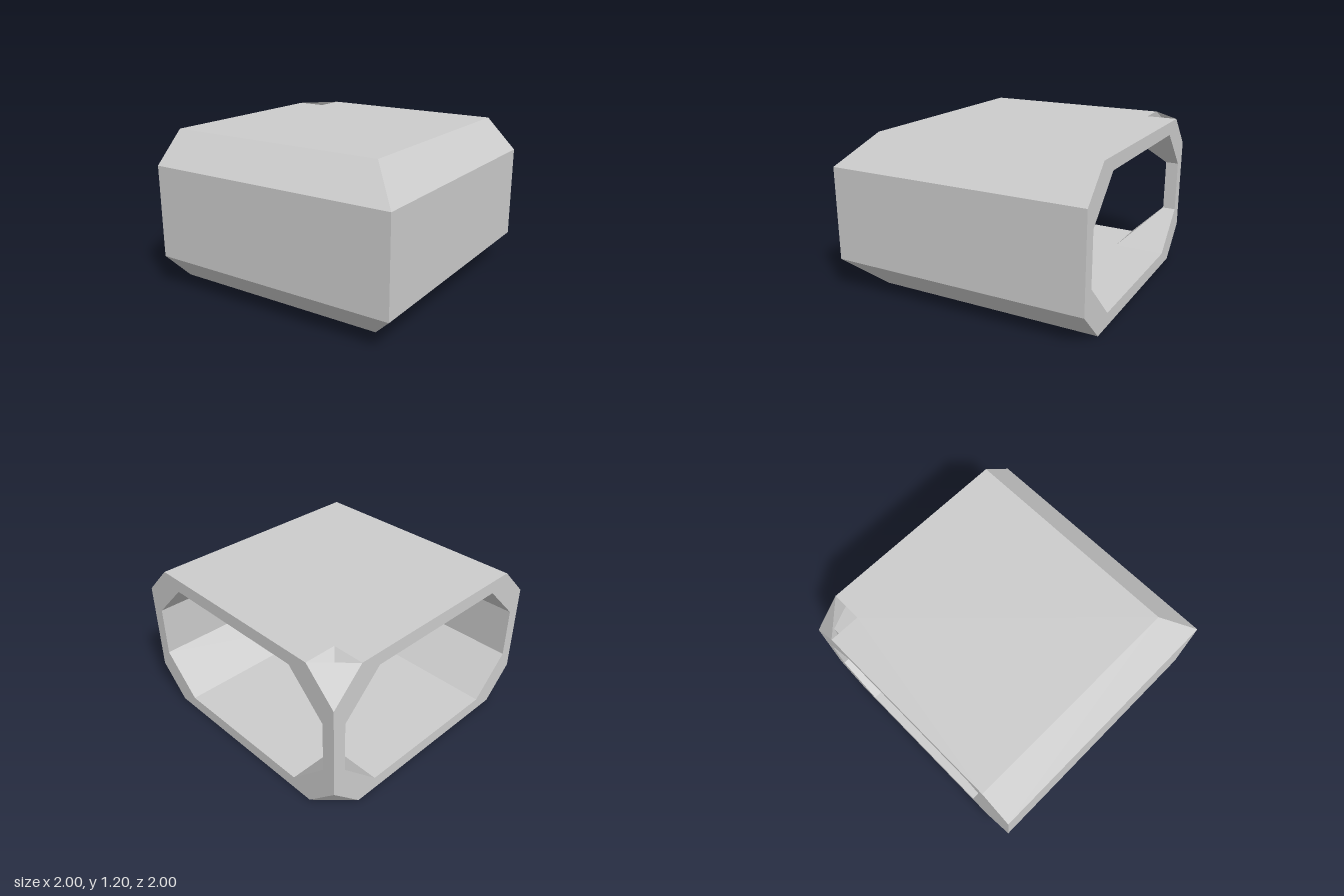
import * as THREE from 'three';

const material = new THREE.MeshStandardMaterial({ color: 0xcccccc, flatShading: true, side: THREE.DoubleSide });

// Chamfered section: [u, y] points, counter-clockwise from the bottom edge
function octagon(u0, u1, y0, y1, c) {
  return [
    [u0 + c, y0], [u1 - c, y0], [u1, y0 + c], [u1, y1 - c],
    [u1 - c, y1], [u0 + c, y1], [u0, y1 - c], [u0, y0 + c],
  ];
}

// The section placed at the side opening, the corner mitre and the back opening
function rings(section) {
  return [
    section.map(([u, y]) => [-1, y, u]),
    section.map(([u, y]) => [u, y, u]),
    section.map(([u, y]) => [u, y, -1]),
  ];
}

function makeMesh(name, triangles) {
  const geometry = new THREE.BufferGeometry();
  geometry.setAttribute('position', new THREE.Float32BufferAttribute(triangles.flat(2), 3));
  geometry.computeVertexNormals();
  const mesh = new THREE.Mesh(geometry, material);
  mesh.name = name;
  return mesh;
}

const quad = (a, b, c, d) => [[a, b, c], [a, c, d]];

// Walls between successive rings, for the chosen section edges
function sweep(ringList, edges, outward) {
  const triangles = [];
  for (let r = 0; r < ringList.length - 1; r++) {
    const [a, b] = [ringList[r], ringList[r + 1]];
    for (const i of edges) {
      const j = (i + 1) % a.length;
      triangles.push(...(outward ? quad(a[i], b[i], b[j], a[j]) : quad(a[i], a[j], b[j], b[i])));
    }
  }
  return triangles;
}

// Flat frame around an opening
function rim(outer, inner, flip) {
  const triangles = [];
  for (let i = 0; i < outer.length; i++) {
    const j = (i + 1) % outer.length;
    const corners = [outer[i], outer[j], inner[j], inner[i]];
    if (flip) corners.reverse();
    triangles.push(...quad(...corners));
  }
  return triangles;
}

export function createModel() {
  const group = new THREE.Group();
  group.name = 'cornerTunnel';

  const outer = rings(octagon(-1, 1, 0, 1.2, 0.24));
  const inner = rings(octagon(-0.9, 0.9, 0.1, 1.1, 0.3));

  // Outer shell: floor, roof, long walls and their chamfers
  group.add(makeMesh('outerShell', sweep(outer, [0, 1, 2, 3, 4], true)));

  // Inner passage
  group.add(makeMesh('innerPassage', sweep(inner, [0, 1, 2, 3, 4, 5, 6, 7], false)));

  // Frames of the two openings
  group.add(makeMesh('sideOpeningRim', rim(outer[0], inner[0], false)));
  group.add(makeMesh('backOpeningRim', rim(outer[2], inner[2], true)));

  // Triangles cutting the corner above and below the inner post
  const [side, , back] = outer;
  group.add(makeMesh('postTopCorner', [[side[6], side[5], back[5]]]));
  group.add(makeMesh('postBottomCorner', [[side[7], back[0], side[0]]]));

  return group;
}
